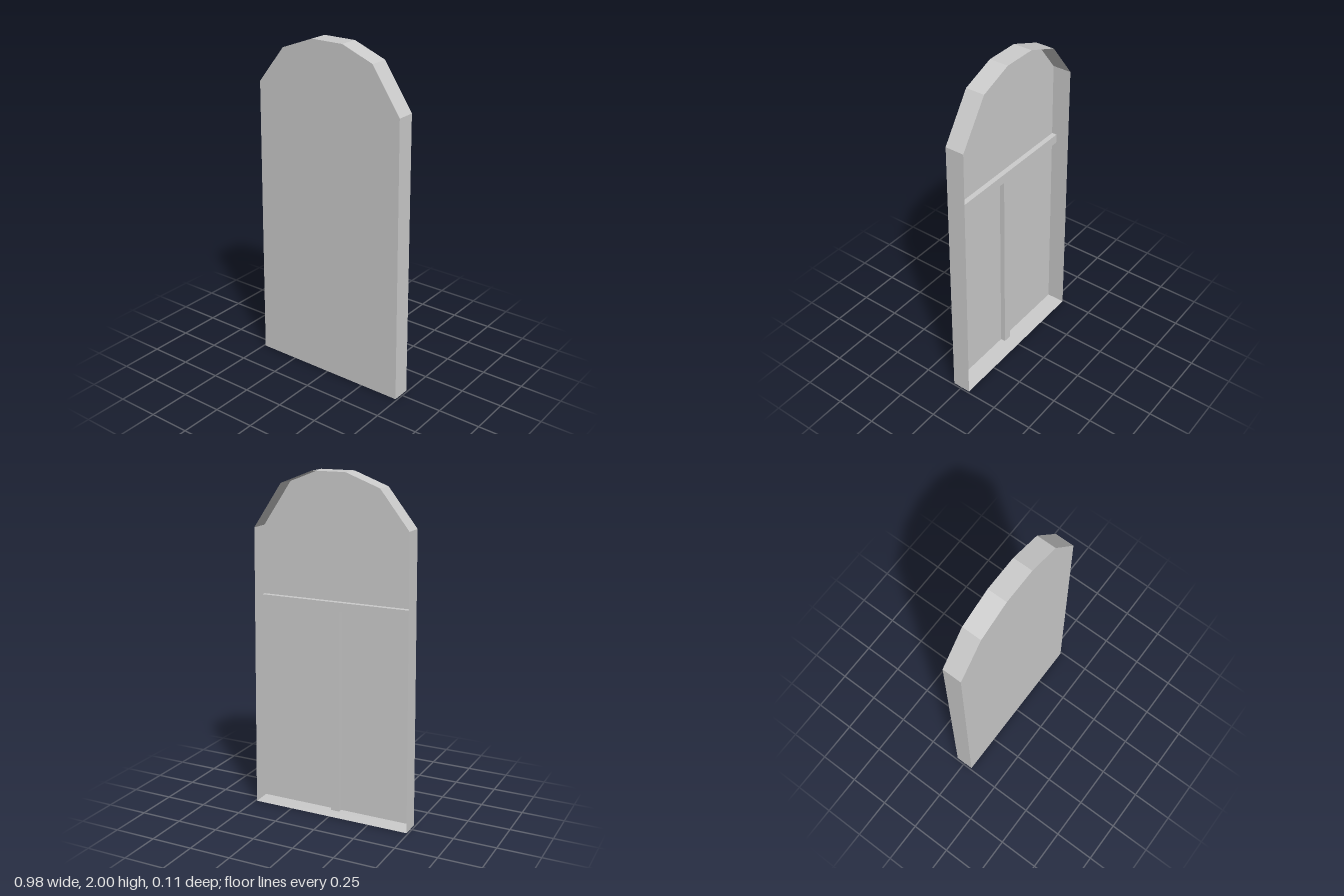
import * as THREE from 'three';

const HALF_DEPTH = 0.056;
const material = new THREE.MeshStandardMaterial({ color: 0xcccccc, flatShading: true, side: THREE.DoubleSide });

// Arched outline, counter-clockwise from the front
const outline = [
  [-0.49, 0], [0.49, 0], [0.466, 1.67], [0.293, 1.925],
  [0.1, 2], [-0.1, 2], [-0.3, 1.925], [-0.47, 1.71],
];

function addMesh(group, name, geometry) {
  const mesh = new THREE.Mesh(geometry, material);
  mesh.name = name;
  group.add(mesh);
  return mesh;
}

// Thin rim swept from the front panel to the open back
function rimGeometry() {
  const positions = [];
  outline.forEach(([x0, y0], i) => {
    const [x1, y1] = outline[(i + 1) % outline.length];
    const f = HALF_DEPTH, b = -HALF_DEPTH;
    positions.push(x0, y0, f, x0, y0, b, x1, y1, b);
    positions.push(x0, y0, f, x1, y1, b, x1, y1, f);
  });
  const geometry = new THREE.BufferGeometry();
  geometry.setAttribute('position', new THREE.Float32BufferAttribute(positions, 3));
  geometry.computeVertexNormals();
  return geometry;
}

// Bar lying against the inside of the front panel
function addBar(group, name, x0, x1, y0, y1) {
  const depth = 0.03;
  const bar = addMesh(group, name, new THREE.BoxGeometry(x1 - x0, y1 - y0, depth));
  bar.position.set((x0 + x1) / 2, (y0 + y1) / 2, HALF_DEPTH - 0.001 - depth / 2);
}

export function createModel() {
  const group = new THREE.Group();
  group.name = 'archedPanel';

  // Flat front panel
  const shape = new THREE.Shape(outline.map(([x, y]) => new THREE.Vector2(x, y)));
  addMesh(group, 'frontPanel', new THREE.ShapeGeometry(shape)).position.z = HALF_DEPTH;

  addMesh(group, 'rim', rimGeometry());

  // T-shaped bracing on the back
  addBar(group, 'crossBar', -0.475, 0.471, 1.215, 1.27);
  addBar(group, 'uprightBar', -0.025, 0.029, 0.002, 1.215);

  return group;
}
